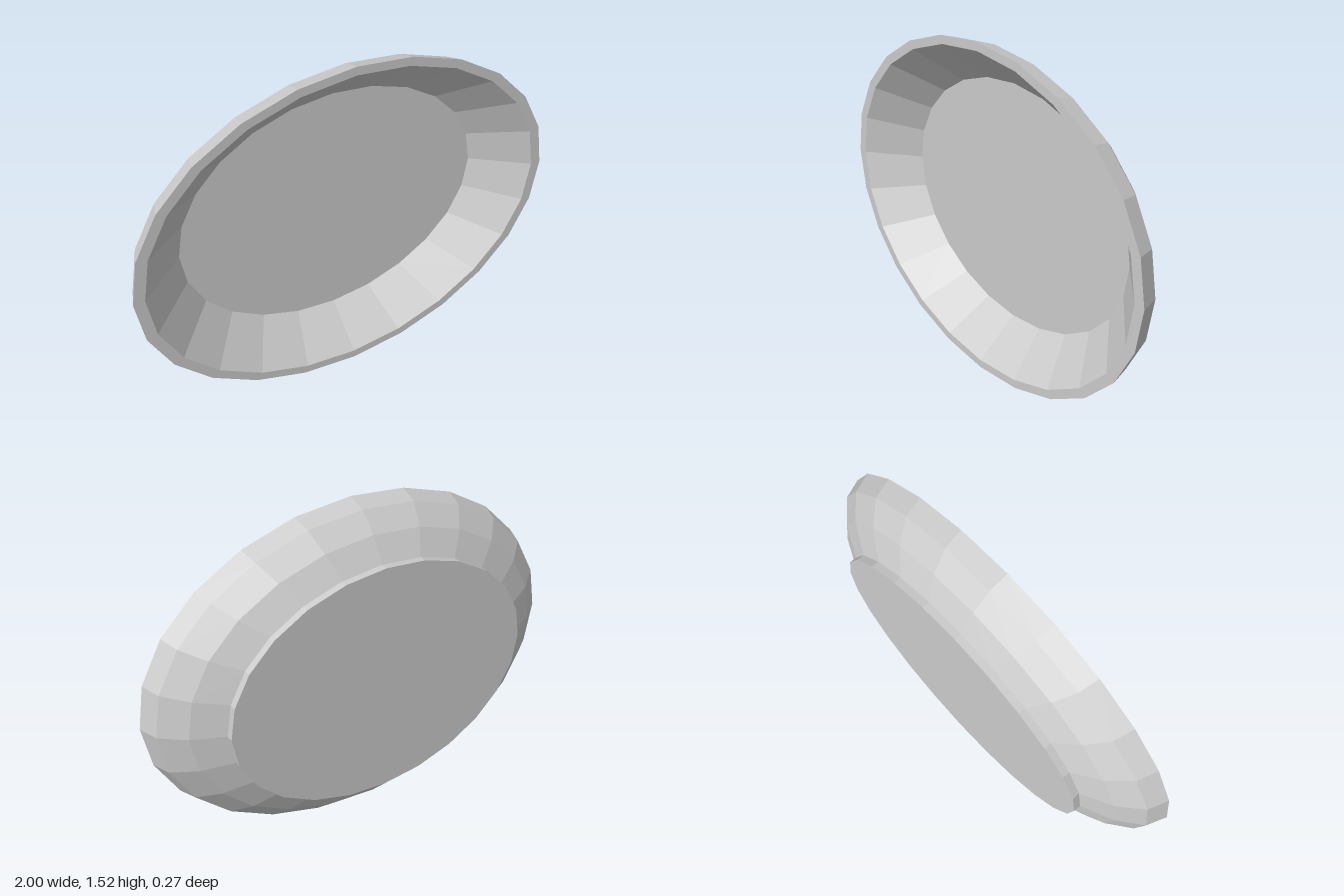
import * as THREE from 'three';

const SIDES = 24;
const ASPECT = 0.76; // height of the oval relative to its width
const CENTRE_Y = 0.765;

// Turns a profile of [radius, z] pairs about the z axis and squashes it to an oval.
function ovalLathe(name, profile, material) {
  const points = profile.map(([r, z]) => new THREE.Vector2(r, z));
  const geometry = new THREE.LatheGeometry(points, SIDES);
  geometry.rotateX(Math.PI / 2);
  geometry.scale(1, ASPECT, 1);
  geometry.translate(0, CENTRE_Y, 0);
  const mesh = new THREE.Mesh(geometry, material);
  mesh.name = name;
  return mesh;
}

export function createModel() {
  const group = new THREE.Group();
  group.name = 'ovalDish';
  const material = new THREE.MeshStandardMaterial({ color: 0xcccccc, flatShading: true });

  // Curved outer wall, flat rim, sloping inner wall and flat floor
  group.add(ovalLathe('dish', [
    [0.727, -0.1], [0.865, -0.037], [0.967, 0.045], [1, 0.133],
    [0.95, 0.133], [0.728, -0.055], [0, -0.055],
  ], material));

  // Shallow base behind the dish
  group.add(ovalLathe('foot', [[0, -0.133], [0.727, -0.133], [0.727, -0.1]], material));

  return group;
}
